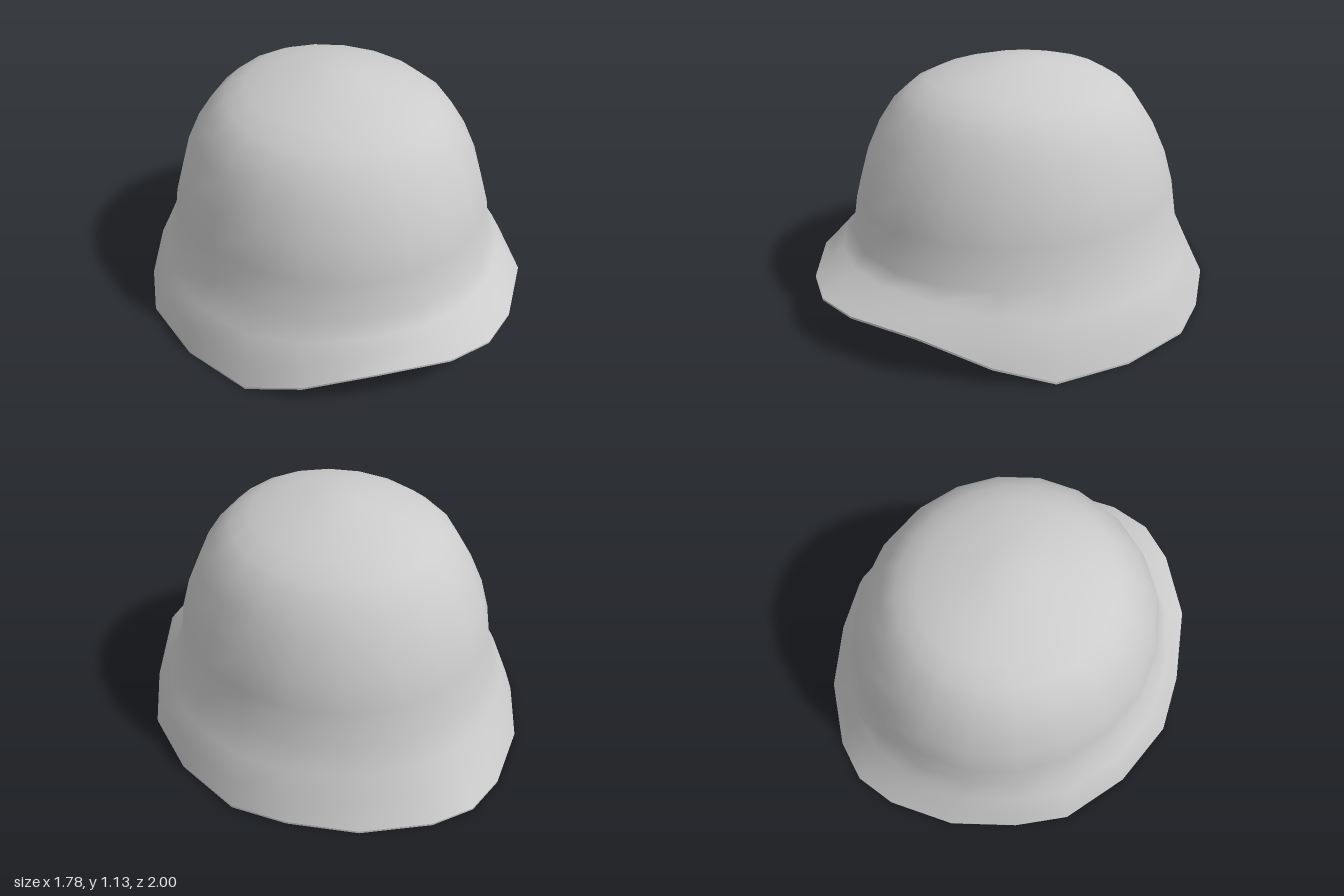
import * as THREE from 'three';
import { mergeVertices } from 'three/addons/utils/BufferGeometryUtils.js';

const SIDES = 20;

// One quadrant of the rim, from the side to the front: [x, z, height of the front edge]
const RIM = [[0.89, 0, 0], [0.84, 0.34, 0], [0.70, 0.56, 0.07], [0.48, 0.795, 0.18], [0.20, 0.955, 0.183], [0, 1, 0.183]];
const LIP = 0.01;

// Dome rings from the brow up: [half width, half depth, y]
const DOME = [
  [0.735, 0.785, 0.35], [0.71, 0.755, 0.53], [0.67, 0.71, 0.68], [0.61, 0.645, 0.82],
  [0.545, 0.57, 0.93], [0.46, 0.50, 1.0], [0.36, 0.41, 1.05], [0.24, 0.28, 1.087],
  [0.12, 0.14, 1.115], [0, 0, 1.13],
];

// Lining rings: straight walls from the rim up to a small crown
const LINING = [
  [0.44, 0.455, 0.72], [0.33, 0.34, 0.87], [0.17, 0.18, 0.96], [0, 0, 0.99],
];

function ring(pointAt) {
  return Array.from({ length: SIDES }, (_, i) => pointAt(i));
}

// Mirrors the quadrant into a full rim loop
function rimPoint(i, lift = 0) {
  const quarter = SIDES / 4;
  const half = i % (SIDES / 2);
  const [x, z, y] = RIM[half <= quarter ? half : SIDES / 2 - half];
  const front = i <= SIDES / 2;
  const right = i > quarter && i < 3 * quarter;
  return new THREE.Vector3(right ? -x : x, (front ? y : 0) + lift, front ? z : -z);
}

function ellipsePoint(i, [w, d, y]) {
  const a = (i / SIDES) * Math.PI * 2;
  return new THREE.Vector3(Math.cos(a) * w, y, Math.sin(a) * d);
}

// Flared skirt between rim and brow: rounder at the sides, hollower front and back
function skirtPoint(i, t) {
  const a = (i / SIDES) * Math.PI * 2;
  const p = rimPoint(i, LIP).lerp(ellipsePoint(i, DOME[0]), t);
  const bulge = Math.sin(t * Math.PI) * (0.025 * Math.cos(a) ** 2 - 0.015 * Math.sin(a) ** 2);
  p.x += Math.cos(a) * bulge;
  p.z += Math.sin(a) * bulge;
  return p;
}

// Inner edge of the rim, set in and levelled slightly
function innerRimPoint(i) {
  const p = rimPoint(i);
  return new THREE.Vector3(p.x * 0.9, 0.015 + p.y * 0.84, p.z * 0.9);
}

// Skins a stack of closed rings
function loft(rings) {
  const positions = rings.flat().flatMap((p) => p.toArray());
  const index = [];
  for (let j = 0; j < rings.length - 1; j++) {
    for (let i = 0; i < SIDES; i++) {
      const a = j * SIDES + i;
      const b = j * SIDES + ((i + 1) % SIDES);
      index.push(a, a + SIDES, b, b, a + SIDES, b + SIDES);
    }
  }
  let geometry = new THREE.BufferGeometry();
  geometry.setAttribute('position', new THREE.Float32BufferAttribute(positions, 3));
  geometry.setIndex(index);
  geometry = mergeVertices(geometry, 1e-4);
  geometry.computeVertexNormals();
  return geometry;
}

export function createModel() {
  const group = new THREE.Group();
  group.name = 'helmet';
  const material = new THREE.MeshStandardMaterial({ color: 0xcccccc });
  const add = (name, rings) => {
    const mesh = new THREE.Mesh(loft(rings), material);
    mesh.name = name;
    group.add(mesh);
  };

  const dome = DOME.map((level) => ring((i) => ellipsePoint(i, level)));
  const skirt = [0, 1 / 3, 2 / 3].map((t) => ring((i) => skirtPoint(i, t)));
  const lining = LINING.map((level) => ring((i) => ellipsePoint(i, level)));
  const rim = ring((i) => rimPoint(i));
  const innerRim = ring(innerRimPoint);

  add('outerShell', [...skirt, ...dome]);
  add('rimLip', [rim, skirt[0]]);
  add('rimUnderside', [innerRim, rim]);
  add('innerShell', [innerRim, ...lining].reverse());
  return group;
}
